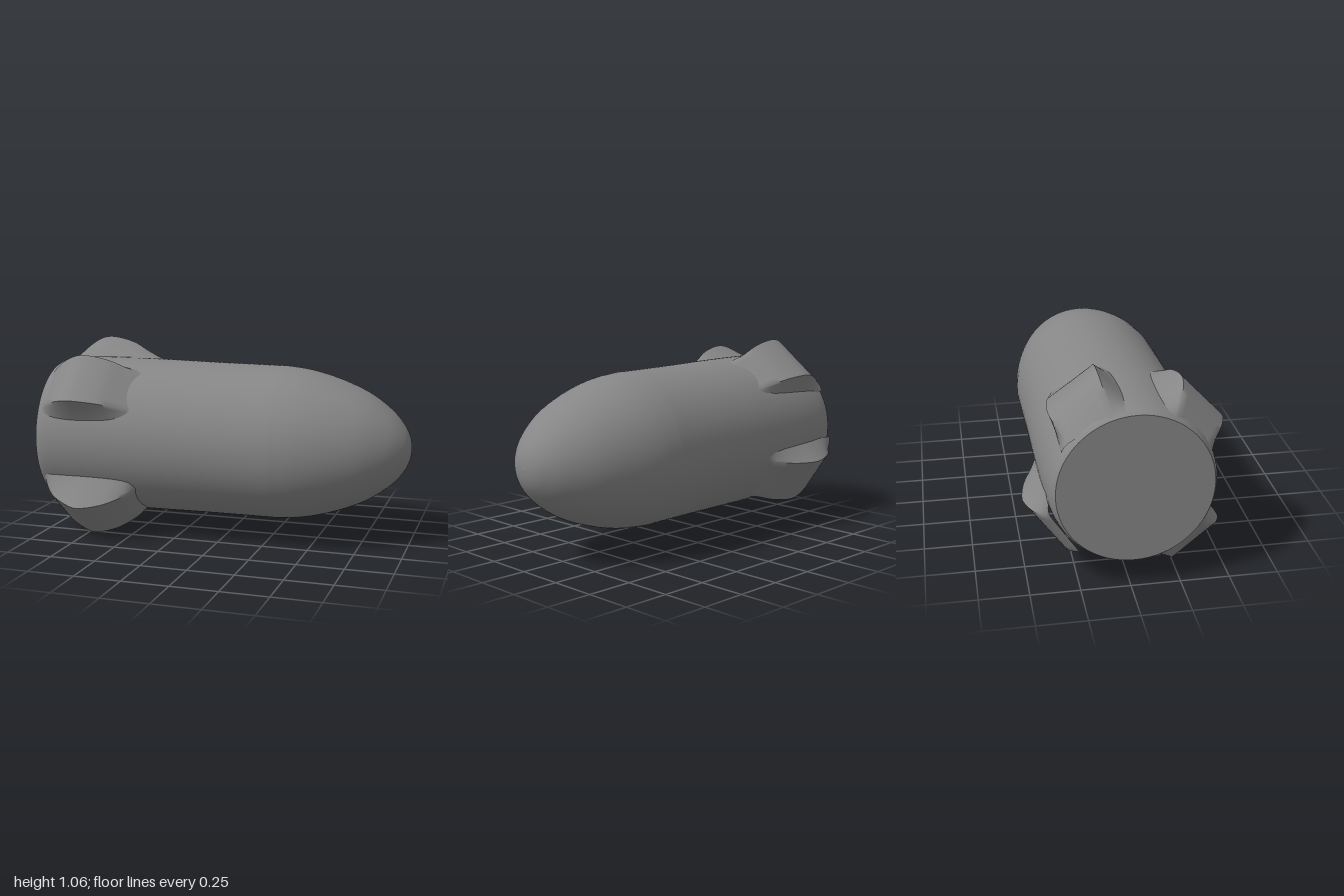
import * as THREE from 'three';
import { toCreasedNormals } from 'three/addons/utils/BufferGeometryUtils.js';

const AXIS_Y = 0.53;
const CORE_R = 0.415;
const FOOT_R = 0.4;
const TAIL_R = 0.387;
const material = new THREE.MeshStandardMaterial({ color: 0x868686 });

function addPart(parent, name, geometry) {
  const mesh = new THREE.Mesh(geometry, material);
  mesh.name = name;
  parent.add(mesh);
  return mesh;
}

const toPoints = (pairs) => pairs.map(([a, b]) => new THREE.Vector2(a, b));

// Fin height along the body: 0 near both ends, 1 at the crest
const finStations = (crest) => new THREE.SplineCurve(toPoints([
  [-0.985, -0.12], [-0.9, 0.52], [crest - 0.08, 0.92], [crest, 1], [crest + 0.12, 0.79],
  [crest + 0.22, 0.4], [-0.43, 0.08], [-0.37, -0.06],
])).getPoints(42);

// Point on a section: angle in degrees from +z towards +y
const polar = (deg, r) => new THREE.Vector2(
  r * Math.cos(THREE.MathUtils.degToRad(deg)), r * Math.sin(THREE.MathUtils.degToRad(deg)));

// Lofted fin: concave flank, flat outer face, concave flank
function finGeometry({ foot, corner, peak, crest }) {
  const stations = finStations(crest);
  const positions = [], index = [];
  let count = 0;
  stations.forEach(({ x, y: h }) => {
    const rise = peak.map((r) => (r - CORE_R) * h);
    const tip = corner.map((a, i) => polar(a, CORE_R + rise[i]));
    const base = foot.map((a) => polar(a, FOOT_R));
    const bend = corner.map((a, i) => polar(a + (foot[i] - a) * 0.45, CORE_R + rise[i] * 0.3));
    const section = [
      ...new THREE.QuadraticBezierCurve(base[0], bend[0], tip[0]).getPoints(8),
      ...new THREE.LineCurve(tip[0], tip[1]).getPoints(8).slice(1, -1),
      ...new THREE.QuadraticBezierCurve(tip[1], bend[1], base[1]).getPoints(8),
    ];
    count = section.length;
    section.forEach((p) => positions.push(x, p.y, p.x));
  });
  for (let i = 0; i < stations.length - 1; i++) {
    for (let j = 0; j < count - 1; j++) {
      const a = i * count + j, b = a + count;
      index.push(a, b, a + 1, b, b + 1, a + 1);
    }
  }
  const geometry = new THREE.BufferGeometry();
  geometry.setAttribute('position', new THREE.Float32BufferAttribute(positions, 3));
  geometry.setIndex(index);
  return toCreasedNormals(geometry, 1.1);
}

export function createModel() {
  const model = new THREE.Group();
  model.name = 'finnedCapsule';
  model.position.y = AXIS_Y;

  // Body, tilted very slightly off the axis
  const body = new THREE.Group();
  body.name = 'body';
  body.rotation.set(0, 0.02, -0.008);
  model.add(body);

  // Hull: rounded tail rim, straight barrel, rounded nose
  const barrel = new THREE.SplineCurve(toPoints([
    [TAIL_R, -1], [0.404, -0.965], [0.417, -0.88], [0.424, -0.7], [0.424, -0.4], [0.42, -0.1], [0.418, 0.3],
  ])).getPoints(36);
  const nose = new THREE.SplineCurve(toPoints([
    [0.418, 0.3], [0.404, 0.43], [0.37, 0.57], [0.318, 0.71], [0.264, 0.81], [0.19, 0.905],
    [0.115, 0.966], [0.055, 0.992], [0, 1],
  ])).getPoints(40).slice(1);
  addPart(body, 'hull', new THREE.LatheGeometry([...barrel, ...nose], 96).rotateZ(-Math.PI / 2));

  // Flat tail disc
  addPart(body, 'tailDisc', new THREE.CircleGeometry(TAIL_R, 96).rotateY(-Math.PI / 2)).position.x = -1;

  // Four uneven fins around the tail
  const fins = {
    upperFrontFin: { foot: [12, 73], corner: [27, 59], peak: [0.55, 0.547], crest: -0.73 },
    upperBackFin: { foot: [88, 146], corner: [104, 137.5], peak: [0.547, 0.503], crest: -0.74 },
    lowerBackFin: { foot: [186, 243], corner: [196, 231], peak: [0.52, 0.505], crest: -0.71 },
    lowerFrontFin: { foot: [-79, -21], corner: [-63.5, -33.5], peak: [0.59, 0.6], crest: -0.7 },
  };
  for (const [name, spec] of Object.entries(fins)) addPart(model, name, finGeometry(spec));

  return model;
}
